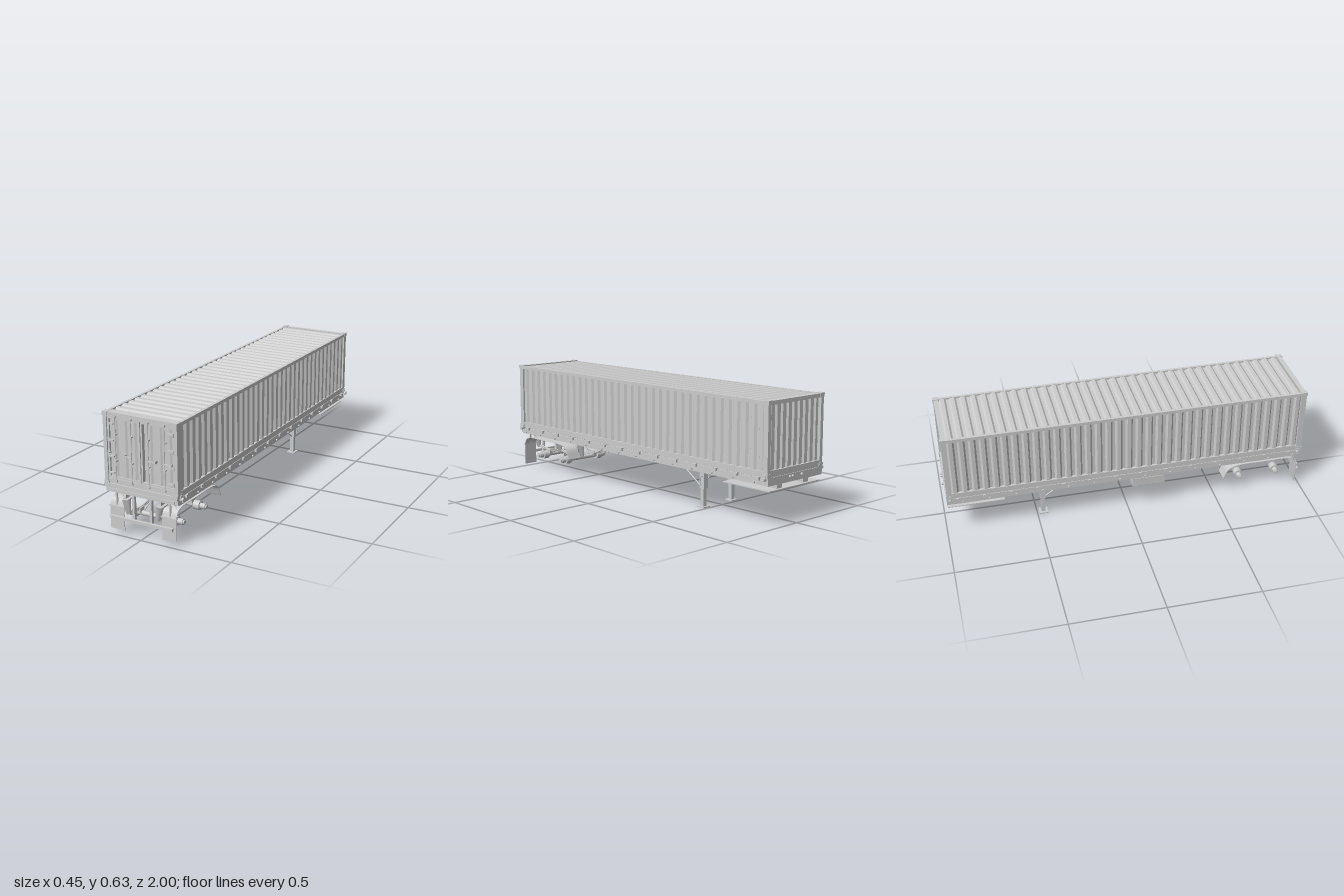
import * as THREE from 'three';

export function createModel() {
  const root = new THREE.Group();
  root.name = 'containerTrailer';
  const grey = new THREE.MeshStandardMaterial({ color: 0xcccccc });
  grey.name = 'light grey';

  const add = (name, geo) => {
    const m = new THREE.Mesh(geo, grey);
    m.name = name;
    root.add(m);
    return m;
  };
  // box given by its minimum and maximum on each axis
  const box = (name, x0, x1, y0, y1, z0, z1) => {
    const m = add(name, new THREE.BoxGeometry(Math.abs(x1 - x0), y1 - y0, z1 - z0));
    m.position.set((x0 + x1) / 2, (y0 + y1) / 2, (z0 + z1) / 2);
    return m;
  };
  // round or square bar between two points
  const bar = (name, a, b, r, sides = 12, r2 = r) => {
    const p = new THREE.Vector3(...a), q = new THREE.Vector3(...b);
    const m = add(name, new THREE.CylinderGeometry(r2, r, p.distanceTo(q), sides));
    m.position.copy(p).add(q).multiplyScalar(0.5);
    m.quaternion.setFromUnitVectors(new THREE.Vector3(0, 1, 0), q.clone().sub(p).normalize());
    return m;
  };
  const both = (fn) => [-1, 1].forEach(fn);
  const V = (x, y, z) => new THREE.Vector3(x, y, z);

  // trapezoid-wave sheet: u runs along the waves, v is outward, the third axis is the extrusion
  const corrugated = (name, length, n, depth, extent, u, v, pos) => {
    const pitch = length / n, s = new THREE.Shape();
    s.moveTo(-length / 2, -depth - 0.004);
    for (let i = 0; i < n; i++) {
      const a = -length / 2 + i * pitch;
      [[0, -depth], [0.14, -depth], [0.32, 0], [0.68, 0], [0.86, -depth]]
        .forEach(([t, d]) => s.lineTo(a + t * pitch, d));
    }
    s.lineTo(length / 2, -depth);
    s.lineTo(length / 2, -depth - 0.004);
    const g = new THREE.ExtrudeGeometry(s, { depth: extent, bevelEnabled: false });
    g.translate(0, 0, -extent / 2);
    g.applyMatrix4(new THREE.Matrix4().makeBasis(u, v, u.clone().cross(v)));
    add(name, g).position.set(...pos);
  };

  // ---- container body ----
  both((s) => {
    corrugated('sideWall', 1.93, 35, 0.011, 0.335, V(0, 0, s), V(s, 0, 0), [s * 0.203, 0.445, 0]);
    box('topSideRail', s * 0.192, s * 0.207, 0.605, 0.622, -0.98, 0.98);
    box('bottomSideRail', s * 0.185, s * 0.207, 0.252, 0.282, -0.98, 0.98);
    both((e) => {
      const z = e > 0 ? [0.955, 0.985] : [-0.985, -0.957];
      box('cornerPost', s * 0.188, s * 0.208, 0.25, 0.61, ...z);
      box('topCornerCasting', s * 0.182, s * 0.21, 0.605, 0.626, z[0] - 0.003, z[1] + 0.003);
      box('bottomCornerCasting', s * 0.182, s * 0.21, 0.25, 0.272, z[0] - 0.003, z[1] + 0.003);
    });
  });
  corrugated('roof', 1.93, 35, 0.008, 0.386, V(0, 0, 1), V(0, 1, 0), [0, 0.62, 0]);
  corrugated('frontBulkhead', 0.376, 9, 0.009, 0.325, V(1, 0, 0), V(0, 0, -1), [0, 0.443, -0.976]);
  box('bulkheadHeader', -0.19, 0.19, 0.603, 0.623, -0.983, -0.96);
  box('bulkheadSill', -0.19, 0.19, 0.252, 0.285, -0.983, -0.96);
  box('doorHeader', -0.19, 0.19, 0.602, 0.625, 0.955, 0.982);
  box('doorSill', -0.187, 0.187, 0.26, 0.288, 0.955, 0.982);
  box('containerFloor', -0.19, 0.19, 0.262, 0.27, -0.97, 0.97);

  // ---- doors ----
  both((s) => {
    corrugated('doorPanel', 0.162, 3, 0.006, 0.3, V(-1, 0, 0), V(0, 0, 1), [s * 0.098, 0.444, 0.974]);
    box('doorEdge', s * 0.002, s * 0.011, 0.288, 0.602, 0.96, 0.98);
    box('doorEdge', s * 0.178, s * 0.188, 0.288, 0.602, 0.96, 0.978);
    box('doorTopEdge', s * 0.002, s * 0.188, 0.592, 0.602, 0.96, 0.978);
    box('doorBottomEdge', s * 0.002, s * 0.188, 0.288, 0.297, 0.96, 0.978);
    [0.317, 0.4, 0.483, 0.566].forEach((y) => {
      box('hingeStrap', s * 0.152, s * 0.188, y - 0.004, y + 0.004, 0.975, 0.984);
      bar('hingePin', [s * 0.188, y - 0.01, 0.986], [s * 0.188, y + 0.01, 0.986], 0.004);
    });
    [0.048, 0.138].forEach((x) => {
      bar('lockingBar', [s * x, 0.277, 0.987], [s * x, 0.608, 0.987], 0.0028, 10);
      [0.28, 0.605].forEach((y) =>
        box('lockingCam', s * x - 0.005, s * x + 0.005, y - 0.005, y + 0.005, 0.978, 0.992));
      [0.383, 0.518].forEach((y) =>
        box('barBracket', s * x - 0.005, s * x + 0.005, y - 0.003, y + 0.003, 0.972, 0.992));
      box('lockHandle', s * (x - 0.003), s * (x + 0.042), 0.412, 0.418, 0.987, 0.993);
      box('handleCatch', s * (x + 0.037), s * (x + 0.042), 0.408, 0.422, 0.97, 0.992);
    });
  });

  // ---- chassis ----
  both((s) => {
    box('beamWeb', s * 0.098, s * 0.102, 0.188, 0.25, -0.96, 0.97);
    box('beamLowerFlange', s * 0.083, s * 0.117, 0.183, 0.19, -0.75, 0.97);
    box('beamUpperFlange', s * 0.083, s * 0.117, 0.244, 0.25, -0.96, 0.97);
    box('deckSideRail', s * 0.196, s * 0.205, 0.212, 0.248, -0.985, 0.97);
    box('deckRailLip', s * 0.18, s * 0.205, 0.212, 0.217, -0.985, 0.97);
    // strap anchors along the rail
    for (let i = 0; i < 14; i++) {
      const z = -0.93 + i * 0.1415;
      box('strapAnchor', s * 0.2, s * 0.216, 0.236, 0.252, z - 0.007, z + 0.007);
      bar('railPin', [s * 0.2, 0.222, z + 0.03], [s * 0.212, 0.222, z + 0.03], 0.006);
    }
    // side marker knobs at the tail and nose
    [0.962, -0.97].forEach((z) => {
      bar('lockStem', [s * 0.2, 0.245, z], [s * 0.222, 0.245, z], 0.005);
      bar('lockKnob', [s * 0.216, 0.245, z], [s * 0.227, 0.245, z], 0.0095, 16);
      box('lockBlock', s * 0.206, s * 0.215, 0.238, 0.264, z - 0.008, z + 0.008);
    });
  });
  for (let i = 0; i < 17; i++) {
    const z = -0.9 + i * 0.1125;
    box('crossMember', -0.197, 0.197, 0.212, 0.25, z - 0.002, z + 0.002);
    box('crossMemberFlange', -0.197, 0.197, 0.212, 0.215, z - 0.002, z + 0.014);
  }
  box('tailBeam', -0.205, 0.205, 0.216, 0.262, 0.955, 0.982);
  box('tailStrip', -0.206, 0.206, 0.242, 0.262, 0.955, 0.99);
  box('tailPlate', -0.188, 0.188, 0.218, 0.235, 0.98, 0.986);
  both((s) => box('tailLamp', s * 0.165, s * 0.186, 0.222, 0.235, 0.985, 0.988));
  box('noseBeam', -0.205, 0.205, 0.212, 0.252, -0.987, -0.965);
  [-0.045, 0.025, 0.045].forEach((x) =>
    bar('airCoupling', [x, 0.238, -0.98], [x, 0.238, -0.998], 0.007));

  // ---- coupling plate and pin ----
  box('couplingPlate', -0.19, 0.19, 0.181, 0.186, -0.985, -0.68);
  both((s) => box('plateSupport', s * 0.08, s * 0.12, 0.186, 0.22, -0.97, -0.7));
  bar('kingpin', [0, 0.166, -0.79], [0, 0.182, -0.79], 0.008, 16);
  bar('kingpinHead', [0, 0.166, -0.79], [0, 0.17, -0.79], 0.011, 16);

  // ---- landing gear ----
  both((s) => {
    const x = s * 0.106, z = -0.465;
    box('landingLegOuter', x - 0.015, x + 0.015, 0.1, 0.245, z - 0.015, z + 0.015);
    box('landingLegInner', x - 0.011, x + 0.011, 0.005, 0.1, z - 0.011, z + 0.011);
    box('landingFoot', x - 0.024, x + 0.024, 0, 0.006, z - 0.024, z + 0.024);
    bar('legBrace', [x, 0.1, z + 0.01], [x, 0.186, -0.33], 0.004, 8);
    bar('legCrossBrace', [x, 0.12, z], [0, 0.215, z], 0.004, 8);
  });
  bar('landingGearShaft', [-0.1, 0.165, -0.465], [0.13, 0.165, -0.465], 0.004);
  bar('crankHandle', [0.13, 0.165, -0.465], [0.135, 0.12, -0.465], 0.003, 8);

  // ---- tool box and air tank ----
  box('toolBox', -0.203, -0.11, 0.155, 0.213, 0.02, 0.2);
  box('toolBoxLid', -0.206, -0.203, 0.163, 0.207, 0.03, 0.19);
  bar('airTank', [-0.066, 0.197, 0.3], [0.066, 0.197, 0.3], 0.019, 24);
  bar('tankDrain', [0, 0.163, 0.3], [0, 0.18, 0.3], 0.007, 10);

  // ---- running gear ----
  const axles = [0.87, 0.655], hangers = [0.972, 0.762, 0.555];
  axles.forEach((z) => {
    bar('axle', [-0.13, 0.082, z], [0.13, 0.082, z], 0.012, 16);
    both((s) => {
      bar('brakeDrum', [s * 0.1, 0.082, z], [s * 0.135, 0.082, z], 0.024, 24);
      bar('hub', [s * 0.135, 0.082, z], [s * 0.165, 0.082, z], 0.015, 20);
      bar('hubCap', [s * 0.165, 0.082, z], [s * 0.172, 0.082, z], 0.01, 20);
      box('springSeat', s * 0.073, s * 0.094, 0.082, 0.112, z - 0.018, z + 0.018);
      // bowed leaf springs
      [0, 0.006].forEach((lift) => {
        const h = 0.1 - lift * 3;
        const c = new THREE.QuadraticBezierCurve3(
          V(s * 0.084, 0.122 + lift, z + h), V(s * 0.084, 0.088 + lift, z), V(s * 0.084, 0.122 + lift, z - h));
        add('leafSpring', new THREE.TubeGeometry(c, 16, 0.0045, 8));
      });
      bar('radiusRod', [s * 0.07, 0.088, z], [s * 0.07, 0.13, z - 0.1], 0.004, 8);
    });
  });
  bar('equaliserShaft', [-0.09, 0.122, 0.762], [0.09, 0.122, 0.762], 0.005);
  hangers.forEach((z) => both((s) => {
    const h = bar('springHanger', [s * 0.085, 0.112, z], [s * 0.096, 0.188, z], 0.011, 4, 0.022);
    h.rotateY(Math.PI / 4);
  }));

  // ---- fenders, mud flaps and rear guard ----
  const arc = new THREE.CatmullRomCurve3([
    V(0.976, 0.14, 0), V(0.962, 0.172, 0), V(0.93, 0.187, 0), V(0.77, 0.189, 0),
    V(0.63, 0.187, 0), V(0.575, 0.168, 0), V(0.545, 0.11, 0)]);
  const pts = arc.getPoints(30);
  const outline = new THREE.Shape([
    ...pts.map((p) => new THREE.Vector2(p.x, p.y)),
    ...pts.slice().reverse().map((p) => new THREE.Vector2(p.x + (0.76 - p.x) * 0.014, p.y - 0.003))]);
  both((s) => {
    const f = add('fender', new THREE.ExtrudeGeometry(outline, { depth: 0.08, bevelEnabled: false }));
    f.rotation.y = -Math.PI / 2;
    f.position.x = s * 0.15 + 0.04;
    box('mudFlap', s * 0.109, s * 0.19, 0.019, 0.145, 0.972, 0.976);
    box('flapClamp', s * 0.105, s * 0.194, 0.139, 0.144, 0.97, 0.982);
    box('flapBracket', s * 0.148, s * 0.157, 0.144, 0.22, 0.966, 0.974);
    [0.125, 0.178].forEach((x) =>
      bar('fenderStay', [s * x, 0.188, 0.95], [s * 0.15, 0.225, 0.95], 0.0018, 6));
    box('guardPost', s * 0.043, s * 0.056, 0.082, 0.218, 0.966, 0.982);
  });
  box('rearGuard', -0.178, 0.178, 0.081, 0.096, 0.982, 0.997);

  return root;
}
